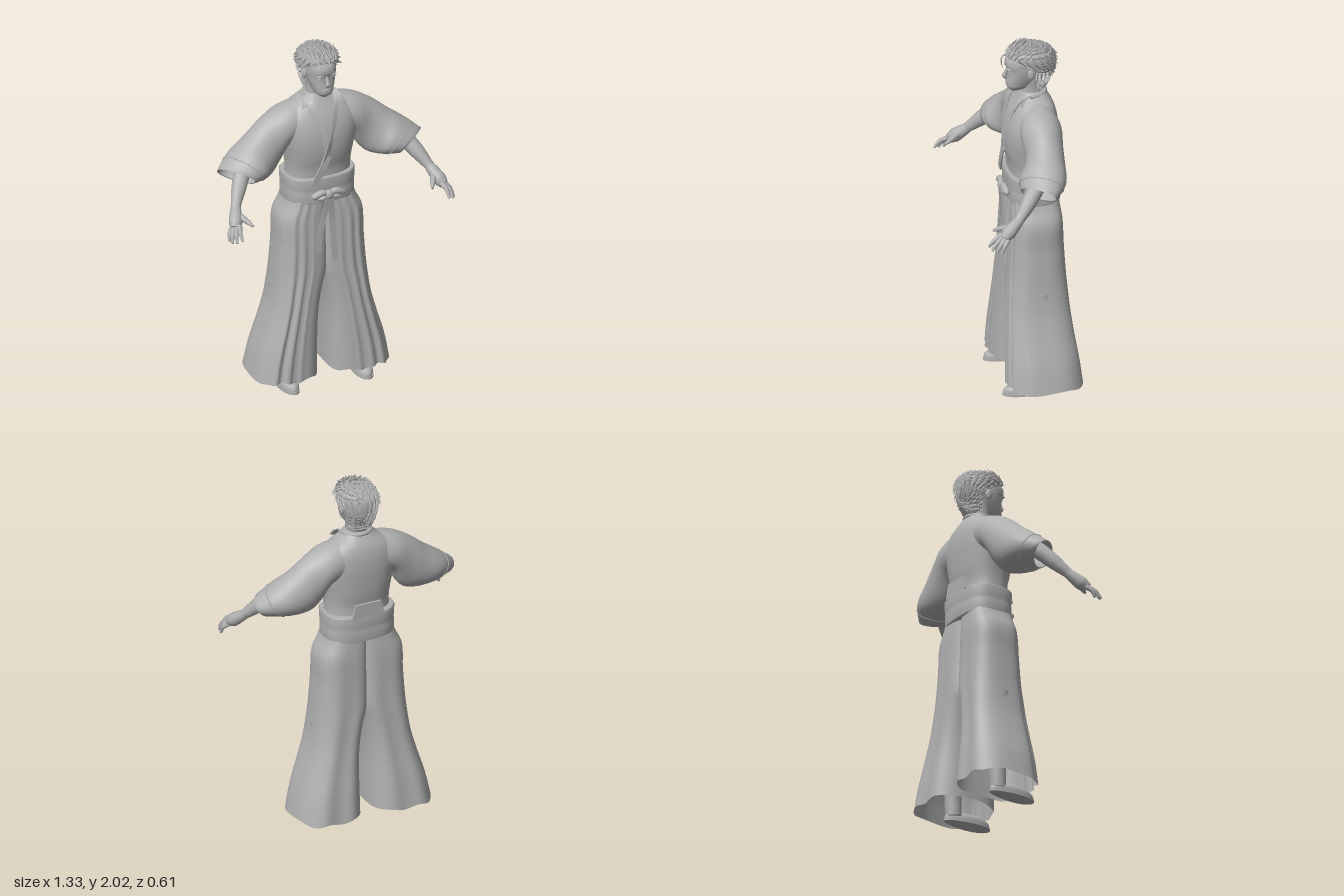
import * as THREE from 'three';
import { mergeGeometries } from 'three/addons/utils/BufferGeometryUtils.js';

const clay = new THREE.MeshStandardMaterial({ color: 0xb0b0b0, side: THREE.DoubleSide });
clay.name = 'plain grey';
const V = (x, y, z) => new THREE.Vector3(x, y, z);
const TAU = Math.PI * 2;

function add(parent, name, geo) {
  const mesh = new THREE.Mesh(geo, clay);
  mesh.name = name;
  parent.add(mesh);
  return mesh;
}

// Skin a list of closed rings, with optional end caps
function loft(rings, capStart = true, capEnd = true) {
  const pos = [], idx = [], n = rings[0].length;
  rings.forEach(r => r.forEach(p => pos.push(p.x, p.y, p.z)));
  for (let i = 0; i < rings.length - 1; i++)
    for (let j = 0; j < n; j++) {
      const a = i * n + j, b = i * n + (j + 1) % n;
      idx.push(a, a + n, b, b, a + n, b + n);
    }
  const cap = (ring, flip) => {
    const base = pos.length / 3, c = V(0, 0, 0);
    ring.forEach(p => { pos.push(p.x, p.y, p.z); c.addScaledVector(p, 1 / n); });
    pos.push(c.x, c.y, c.z);
    for (let j = 0; j < n; j++) {
      const a = base + j, b = base + (j + 1) % n;
      flip ? idx.push(a, b, base + n) : idx.push(b, a, base + n);
    }
  };
  if (capStart) cap(rings[0], true);
  if (capEnd) cap(rings[rings.length - 1], false);
  const g = new THREE.BufferGeometry();
  g.setAttribute('position', new THREE.Float32BufferAttribute(pos, 3));
  g.setIndex(idx);
  g.computeVertexNormals();
  return g;
}

// Smoothly interpolate rows whose first column is the parameter
function smoothRows(rows, steps) {
  const w = rows[0].length - 1;
  const f = new THREE.CubicInterpolant(rows.map(r => r[0]), rows.flatMap(r => r.slice(1)), w, new Array(w).fill(0));
  const t0 = rows[0][0], t1 = rows[rows.length - 1][0];
  return Array.from({ length: steps + 1 }, (_, i) => {
    const t = Math.min(t1, t0 + (t1 - t0) * i / steps);
    return [t, ...f.evaluate(t)];
  });
}

// Horizontal superellipse ring
function ovalRing(y, x0, x1, zf, zb, pow, n = 48) {
  const bend = v => Math.sign(v) * Math.abs(v) ** (2 / pow);
  return Array.from({ length: n }, (_, j) => {
    const t = j / n * TAU;
    return V((x0 + x1) / 2 + (x1 - x0) / 2 * bend(Math.cos(t)), y, (zf + zb) / 2 + (zf - zb) / 2 * bend(Math.sin(t)));
  });
}

// Upright body from rows of [y, halfWidth, zFront, zBack]
const body = (rows, steps, pow) =>
  loft(smoothRows(rows, steps).map(([y, rx, zf, zb]) => ovalRing(y, -rx, rx, zf, zb, pow)));

// Round limb through points [x, y, z, radius]
function limb(pts, steps = 10, sides = 12) {
  const curve = new THREE.CatmullRomCurve3(pts.map(p => V(...p)));
  const fr = curve.computeFrenetFrames(steps);
  return loft(fr.normals.map((N, i) => {
    const u = i / steps, k = u * (pts.length - 1), a = Math.min(Math.floor(k), pts.length - 2);
    const r = THREE.MathUtils.lerp(pts[a][3], pts[a + 1][3], k - a), c = curve.getPoint(u);
    return Array.from({ length: sides }, (_, j) => {
      const t = j / sides * TAU;
      return c.clone().addScaledVector(N, r * Math.cos(t)).addScaledVector(fr.binormals[i], -r * Math.sin(t));
    });
  }));
}

// Flat band through points, spread along a width vector
function ribbon(pts, wide, thick = 0.008, steps = 16) {
  const curve = new THREE.CatmullRomCurve3(pts.map(p => V(...p)));
  const w = V(...wide).multiplyScalar(0.5);
  const g = loft(curve.getPoints(steps).map(p => [[1, 1], [1, -1], [-1, -1], [-1, 1]].map(([a, b]) =>
    p.clone().addScaledVector(w, a).add(V(0, 0, b * thick / 2))))).toNonIndexed();
  g.computeVertexNormals();
  return g;
}

const ball = (x, y, z, rx, ry, rz) => new THREE.SphereGeometry(1, 20, 14).scale(rx, ry, rz).translate(x, y, z);

function buildHead(root) {
  const head = new THREE.Group();
  head.name = 'head';
  root.add(head);
  add(head, 'face', body([[1.735, .022, .03, -.03], [1.755, .046, .05, -.07], [1.79, .062, .053, -.11], [1.83, .074, .049, -.13],
    [1.865, .08, .05, -.15], [1.885, .08, .058, -.15], [1.92, .079, .055, -.16], [1.96, .065, .03, -.15]], 28, 2.4));
  add(head, 'neck', limb([[0, 1.62, -.1, .085], [0, 1.70, -.09, .066], [0, 1.76, -.085, .062], [0, 1.82, -.085, .066]]));
  add(head, 'nose', limb([[0, 1.868, .047, .007], [0, 1.84, .058, .01], [0, 1.82, .064, .014], [0, 1.812, .05, .009]]));
  add(head, 'lips', mergeGeometries([ball(0, 1.789, .05, .023, .004, .007), ball(0, 1.782, .049, .019, .005, .007)]));
  for (const s of [-1, 1]) {
    add(head, 'brow', ball(s * .034, 1.874, .046, .025, .006, .01));
    add(head, 'eye', ball(s * .033, 1.855, .036, .016, .006, .01));
    add(head, 'ear', ball(s * .082, 1.85, -.068, .011, .032, .02));
  }
  // Swept-back hair: a cap covered with tapering locks
  const rows = [[1.735, .045, -.10, -.15], [1.78, .062, -.1, -.172], [1.83, .076, -.09, -.195], [1.87, .089, -.065, -.207],
    [1.91, .104, .01, -.211], [1.945, .104, .045, -.206], [1.972, .084, .032, -.178], [1.985, .055, 0, -.14], [1.991, .015, -.05, -.09]];
  add(head, 'hair', body(rows, 24, 2.1));
  let seed = 7;
  const rnd = () => (seed = (seed * 16807) % 2147483647) / 2147483647;
  const locks = [];
  for (const [y, rx, zf, zb] of [...smoothRows(rows, 14).slice(1), [1.982, .062, .01, -.15], [1.988, .035, -.02, -.12]]) {
    for (const p of ovalRing(y, -rx, rx, zf, zb, 2.1, y > 1.84 ? 22 : 16)) {
      const out = p.clone().sub(V(0, 1.87, -.08)).normalize();
      const sweep = V((rnd() - .5) * .4, y > 1.94 ? .1 : -.5 - rnd() * .4, -.8);
      sweep.addScaledVector(out, -sweep.dot(out)).normalize().addScaledVector(out, y > 1.86 ? .14 : .03).normalize();
      const len = .045 + rnd() * .03;
      const g = new THREE.ConeGeometry(.0105, len, 5).translate(0, len * .25, 0);
      g.applyQuaternion(new THREE.Quaternion().setFromUnitVectors(V(0, 1, 0), sweep));
      locks.push(g.translate(p.x, Math.min(p.y, 1.986), p.z));
    }
  }
  add(head, 'hairLocks', mergeGeometries(locks));
  add(head, 'looseStrand', limb([[.005, 1.955, .045, .005], [.012, 1.945, .08, .004], [.018, 1.91, .085, .003], [.015, 1.875, .075, .001]], 10, 6));
}

function buildArm(root, s) {
  const arm = new THREE.Group();
  arm.name = s > 0 ? 'leftArm' : 'rightArm';
  arm.scale.x = s;
  root.add(arm);
  // Wide sleeve: [t, top x,y, bottom x,y, z centre, z radius, z skew]
  const rows = [[0, .06, 1.70, .10, 1.44, -.095, .1, 0], [1, .21, 1.665, .18, 1.44, -.093, .114, 0], [2, .32, 1.605, .235, 1.35, -.09, .104, .05],
    [3, .405, 1.535, .285, 1.30, -.075, .11, .15], [4, .49, 1.47, .36, 1.285, -.045, .119, .38], [5, .575, 1.395, .455, 1.288, 0, .085, .72]];
  const rings = smoothRows(rows, 24).map(([, tx, ty, bx, by, zc, zr, skew]) => Array.from({ length: 40 }, (_, j) => {
    const c = Math.cos(j / 40 * TAU), q = -Math.sin(j / 40 * TAU) * zr;
    return V((tx + bx) / 2 + (tx - bx) / 2 * c - skew * q, (ty + by) / 2 + (ty - by) / 2 * c + skew * q * .2, zc + q);
  }));
  const mouth = V(.515, 1.342, 0);
  const shrink = (ring, k, d) => ring.map(p => p.clone().sub(mouth).multiplyScalar(k).add(mouth).add(V(-d, d * .6, -d * .6)));
  rings.push(shrink(rings[24], .93, .004), shrink(rings[24], .8, .06));
  add(arm, 'sleeve', loft(rings, true, false));
  add(arm, 'cuffHem', new THREE.TubeGeometry(new THREE.CatmullRomCurve3(rings[21], true), 60, .003, 6, true));
  add(arm, 'forearm', limb([[.4, 1.45, -.06, .05], [.475, 1.375, .0, .047], [.527, 1.305, .06, .042], [.568, 1.243, .115, .029], [.588, 1.21, .15, .026]], 18));
  // Hand with four fingers and a thumb
  add(arm, 'palm', limb([[.57, 1.24, .115, .026], [.588, 1.207, .155, .034], [.604, 1.178, .19, .039], [.618, 1.155, .218, .027]]));
  const tips = [[.66, 1.088, .238], [.656, 1.092, .268], [.64, 1.10, .293], [.612, 1.112, .303]];
  tips.forEach(([x, y, z], i) => {
    const k = [.634 - i * .012, 1.15 + i * .007, .2 + i * .01];
    add(arm, 'finger', limb([[...k, .0145], [(k[0] + x) / 2 + .006, (k[1] + y) / 2 + .008, (k[2] + z) / 2 + .003, .0125], [x, y, z, .007]], 8, 8));
  });
  add(arm, 'thumb', limb([[.583, 1.205, .16, .019], [.56, 1.19, .205, .017], [.543, 1.178, .235, .013], [.532, 1.168, .26, .007]], 8, 8));
}

function buildLeg(root, s) {
  const leg = new THREE.Group();
  leg.name = s > 0 ? 'leftLeg' : 'rightLeg';
  leg.scale.x = s;
  root.add(leg);
  // Wide pleated trouser leg: [y, inner x, outer x, z front, z back]
  const rows = [[.06, .03, .397, .10, -.303], [.2, .03, .368, .095, -.287], [.36, .028, .32, .087, -.265], [.48, .018, .288, .08, -.252],
    [.6, -.006, .27, .073, -.243], [.68, -.03, .262, .068, -.238], [.85, -.035, .25, .06, -.229], [1.02, -.035, .24, .05, -.222],
    [1.07, -.035, .214, .046, -.216], [1.13, -.035, .19, .04, -.21]];
  const rings = smoothRows(rows, 48).map(([y, x0, x1, zf, zb]) => {
    const low = THREE.MathUtils.clamp((1.1 - y) / .9, 0, 1), mid = (zf + zb) / 2;
    return ovalRing(y, x0, x1, zf, zb, 2.9, 120).map(p => {
      const u = (p.x - x0) / (x1 - x0), side = (p.z - mid) / (zf - mid);
      if (side > 0) p.z += side * (.003 + .008 * low) * Math.cos(u * TAU * 5) * THREE.MathUtils.smoothstep(u, .3, .5);
      else p.z -= side * .006 * low * Math.cos(u * TAU * 2);
      p.y += .007 * Math.cos(u * 14 + side * 3) * THREE.MathUtils.smoothstep(.25 - y, 0, .19);
      return p;
    });
  });
  add(leg, 'trouserLeg', loft(rings, false, true));
  add(leg, 'shin', limb([[.2, .6, -.09, .075], [.21, .35, -.1, .065], [.22, .15, -.105, .046], [.22, .03, -.1, .044]], 12, 24));
  // Slipper: rounded upper on a flat sole
  const outline = (y, k) => Array.from({ length: 32 }, (_, j) => {
    const t = j / 32 * TAU, z = Math.sin(t);
    return V(.222 + Math.cos(t) * (.05 + .01 * z) * k - .004 * z, y, -.015 + z * .143 * k);
  });
  add(leg, 'sole', loft([outline(0, 1), outline(.014, 1)]));
  const upper = [[.014, .95], [.03, .96], [.045, .86], [.056, .68], [.062, .4]].map(([y, k]) => outline(y, k));
  add(leg, 'shoe', loft(upper));
}

export function createModel() {
  const root = new THREE.Group();
  root.name = 'robedFigure';
  buildHead(root);

  // Jacket body
  add(root, 'jacket', body([[1.2, .185, .04, -.205], [1.3, .183, .045, -.2], [1.38, .193, .062, -.212], [1.46, .21, .068, -.218], [1.54, .222, .06, -.22],
    [1.61, .21, .038, -.213], [1.66, .165, .012, -.198], [1.70, .1, -.01, -.175], [1.73, .072, -.025, -.155]], 40, 2.4));
  // Crossed lapels, collar and the loose lapel end
  for (const s of [-1, 1])
    add(root, 'lapel', ribbon([[s * .086, 1.72, -.06], [s * .076, 1.69, -.002], [s * .05, 1.60, .042], [s * .018, 1.48, .067], [-.018, 1.36, .062 + s * .004]], [.032, .012, -s * .012]));
  add(root, 'lapelEnd', ribbon([[-.005, 1.385, .066], [-.03, 1.33, .072], [-.085, 1.225, .068]], [.04, -.012, 0]));
  add(root, 'collar', limb(Array.from({ length: 9 }, (_, i) => {
    const a = i / 8 * Math.PI;
    return [Math.cos(a) * .084, 1.712 + .01 * Math.sin(a), -.06 - Math.sin(a) * .102, .01];
  }), 28, 10));
  for (const s of [-1, 1]) {
    add(root, 'collarFlap', ribbon([[s * .086, 1.72, -.05], [s * .097, 1.698, -.02], [s * .108, 1.672, -.004]], [.028, .01, 0], .01));
    buildArm(root, s);
    buildLeg(root, s);
  }

  // Sash in two bands
  add(root, 'sash', loft([[1.1, .192], [1.106, .2], [1.168, .2], [1.178, .196], [1.188, .2], [1.248, .203], [1.256, .196]].map(([y, r]) =>
    ovalRing(y, -r, r, .06 + r - .2, -.23 - r + .2, 2.8))));
  // Stiff back plate
  const plate = new THREE.Shape([[-.1, 0], [.1, 0], [.075, .085], [-.075, .085]].map(p => new THREE.Vector2(...p)));
  add(root, 'backPlate', new THREE.ExtrudeGeometry(plate, { depth: .012, bevelEnabled: false })).position.set(0, 1.245, -.23);

  // Front bow and hanging ties
  const bow = new THREE.Group();
  bow.name = 'bow';
  root.add(bow);
  add(bow, 'knot', ball(0, 1.16, .08, .026, .028, .02));
  for (const s of [-1, 1]) {
    add(bow, 'bowLoop', limb([[0, 1.165, .074, .014], [s * .045, 1.175, .076, .019], [s * .085, 1.155, .07, .019], [s * .1, 1.15, .066, .008]]));
    add(bow, 'bowLowerLoop', limb([[0, 1.155, .076, .012], [s * .04, 1.142, .078, .015], [s * .07, 1.14, .073, .008]]));
  }
  add(bow, 'tie', ribbon([[-.002, 1.15, .09], [-.028, 1.04, .08], [-.052, .92, .078], [-.06, .81, .076]], [.032, 0, 0], .005));
  add(bow, 'tie', ribbon([[.004, 1.15, .088], [.018, 1.04, .077], [.026, .9, .076], [.036, .755, .078]], [.034, 0, 0], .005));
  return root;
}
